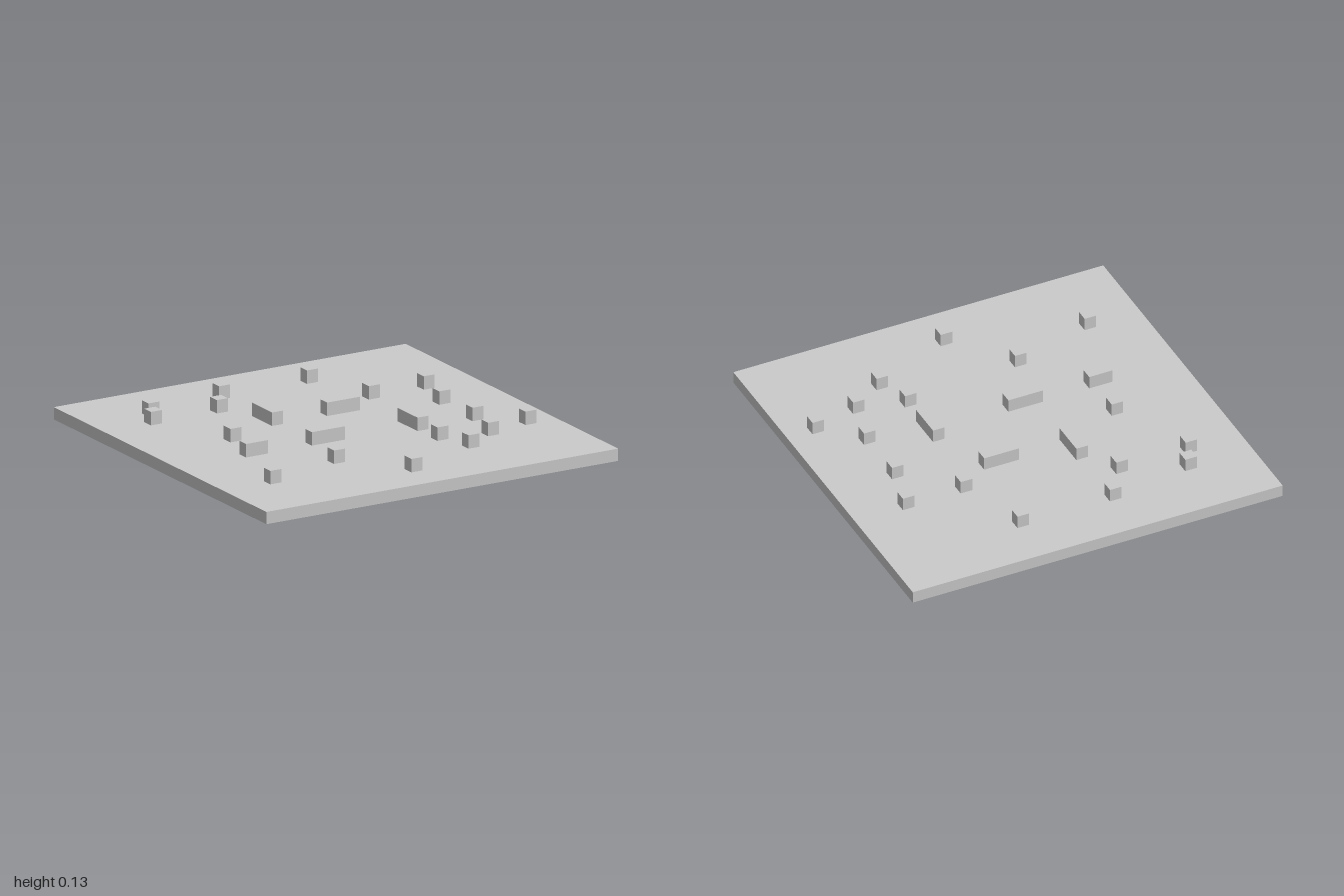
import * as THREE from 'three';

const CELL = 1 / 16;      // grid cell of the board
const HALF = CELL / 2;
const BASE_TOP = 0.0625;
const BLOCK_TOP = 0.131;

export function createModel() {
  const model = new THREE.Group();
  model.name = 'blockBoard';
  const material = new THREE.MeshStandardMaterial({ color: 0xcccccc, flatShading: true });

  function addBox(name, w, d, x, z, bottom, top) {
    const mesh = new THREE.Mesh(new THREE.BoxGeometry(w, top - bottom, d), material);
    mesh.name = name;
    mesh.position.set(x, (bottom + top) / 2, z);
    model.add(mesh);
  }

  // Square base plate
  addBox('basePlate', 2, 2, 0, 0, 0, BASE_TOP);

  // Single-cell blocks: centres [x, z] in half cells
  const blocks = [
    [-21, -21], [-7, -23], [9, -23], [-23, -17], [-11, -17], [13, -11],
    [23, -11], [-17, -3], [21, -3], [21, 7], [11, 13], [27, 13],
    [-9, 15], [19, 15], [-23, 19], [13, 19], [-1, 25],
  ];
  for (const [x, z] of blocks) {
    addBox('block', CELL, CELL, x * HALF, z * HALF, BASE_TOP, BLOCK_TOP);
  }

  // Longer bars: centre [x, z] in half cells, then cells along x and z
  const bars = [
    [-7, -9, 1, 3], [5, -7, 3, 1], [-18, 5, 2, 1], [-5, 5, 3, 1], [11, 5, 1, 3],
  ];
  for (const [x, z, nx, nz] of bars) {
    addBox('bar', nx * CELL, nz * CELL, x * HALF, z * HALF, BASE_TOP, BLOCK_TOP);
  }
  return model;
}
